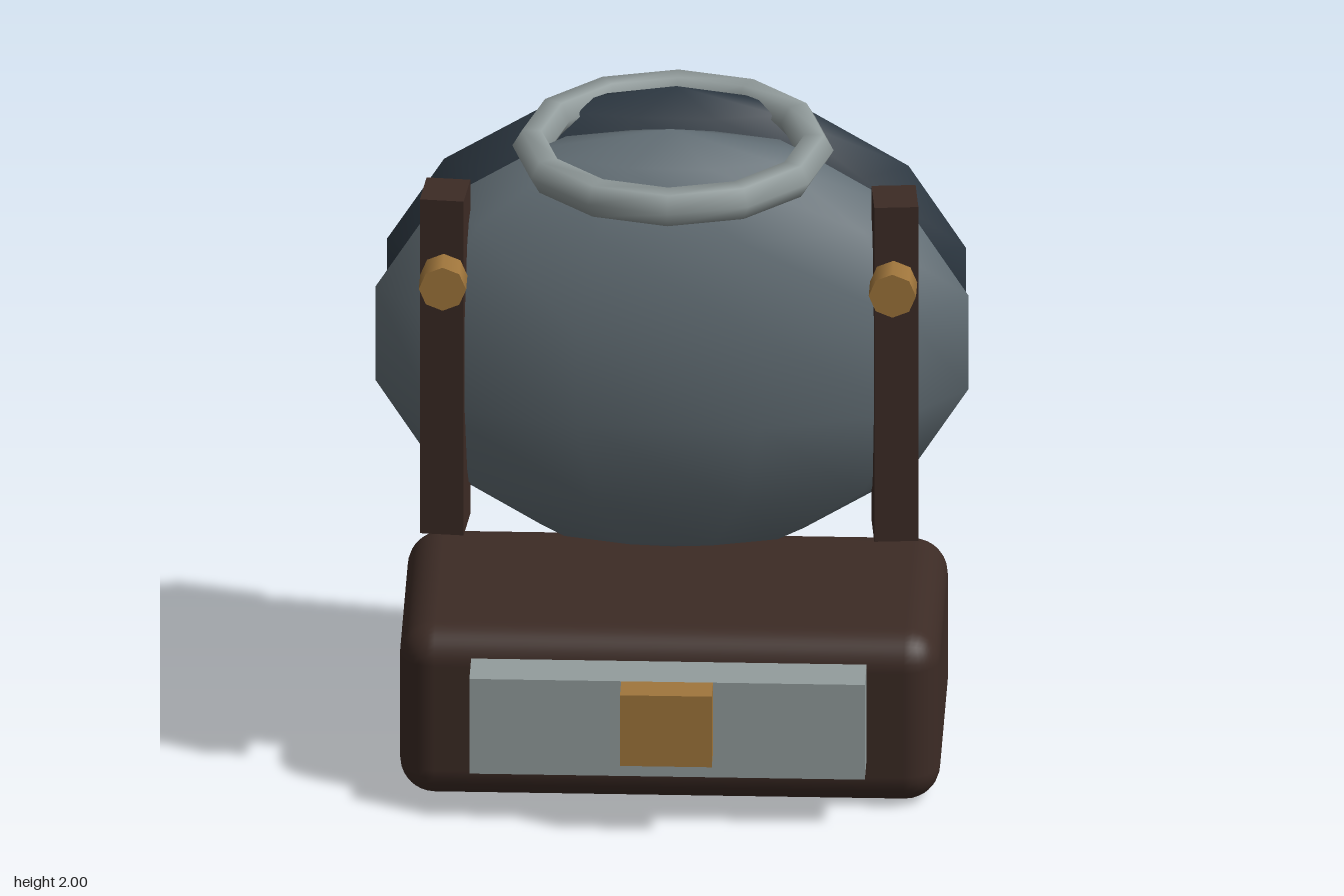
import * as THREE from 'three';
import { RoundedBoxGeometry } from 'three/addons/geometries/RoundedBoxGeometry.js';

const paint = (color) => new THREE.MeshStandardMaterial({ color });
const BROWN = paint(0x3c2b25);
const SLATE = paint(0x636f76);
const NAVY = paint(0x2d3842);
const SILVER = paint(0x939d9d);
const BRASS = paint(0xa0763c);

export function createModel() {
  const model = new THREE.Group();
  model.name = 'backpack';

  const add = (name, geometry, material, x, y, z) => {
    const mesh = new THREE.Mesh(geometry, material);
    mesh.name = name;
    mesh.position.set(x, y, z);
    model.add(mesh);
    return mesh;
  };

  // Low-poly ellipsoid with ten sides and seven rings
  const pod = (rx, ry, rz) => new THREE.SphereGeometry(1, 10, 7).scale(rx, ry, rz);

  // Main bag and the thinner pad behind it
  add('mainBag', pod(0.862, 0.65, 0.315), SLATE, 0, 1.35, 0.035);
  add('backPad', pod(0.841, 0.63, 0.205), NAVY, 0, 1.35, -0.3);

  // Ring lying flat over the top
  const ring = new THREE.TorusGeometry(0.4, 0.055, 6, 12).rotateX(Math.PI / 2);
  add('topRing', ring, SILVER, 0, 1.908, -0.038);

  // Straps and their buttons, mirrored
  for (const side of [-1, 1]) {
    const label = side > 0 ? 'left' : 'right';
    const strap = add(label + 'Strap', new THREE.BoxGeometry(0.125, 1.04, 0.15), BROWN,
      side * 0.637, 1.35, 0.185);
    strap.rotation.y = side * 0.09;
    const button = new THREE.CylinderGeometry(0.067, 0.067, 0.095, 8).rotateX(Math.PI / 2);
    add(label + 'Button', button, BRASS, side * 0.637, 1.65, 0.335);
  }

  // Rounded lower case with its front panel and clasp
  add('lowerCase', new RoundedBoxGeometry(1.53, 0.525, 0.78, 4, 0.1), BROWN, 0, 0.2625, -0.115);
  add('frontPanel', new THREE.BoxGeometry(1.12, 0.295, 0.2), SILVER, 0, 0.3025, 0.31);
  add('clasp', new THREE.BoxGeometry(0.26, 0.22, 0.095), BRASS, 0, 0.34, 0.4575);

  return model;
}
